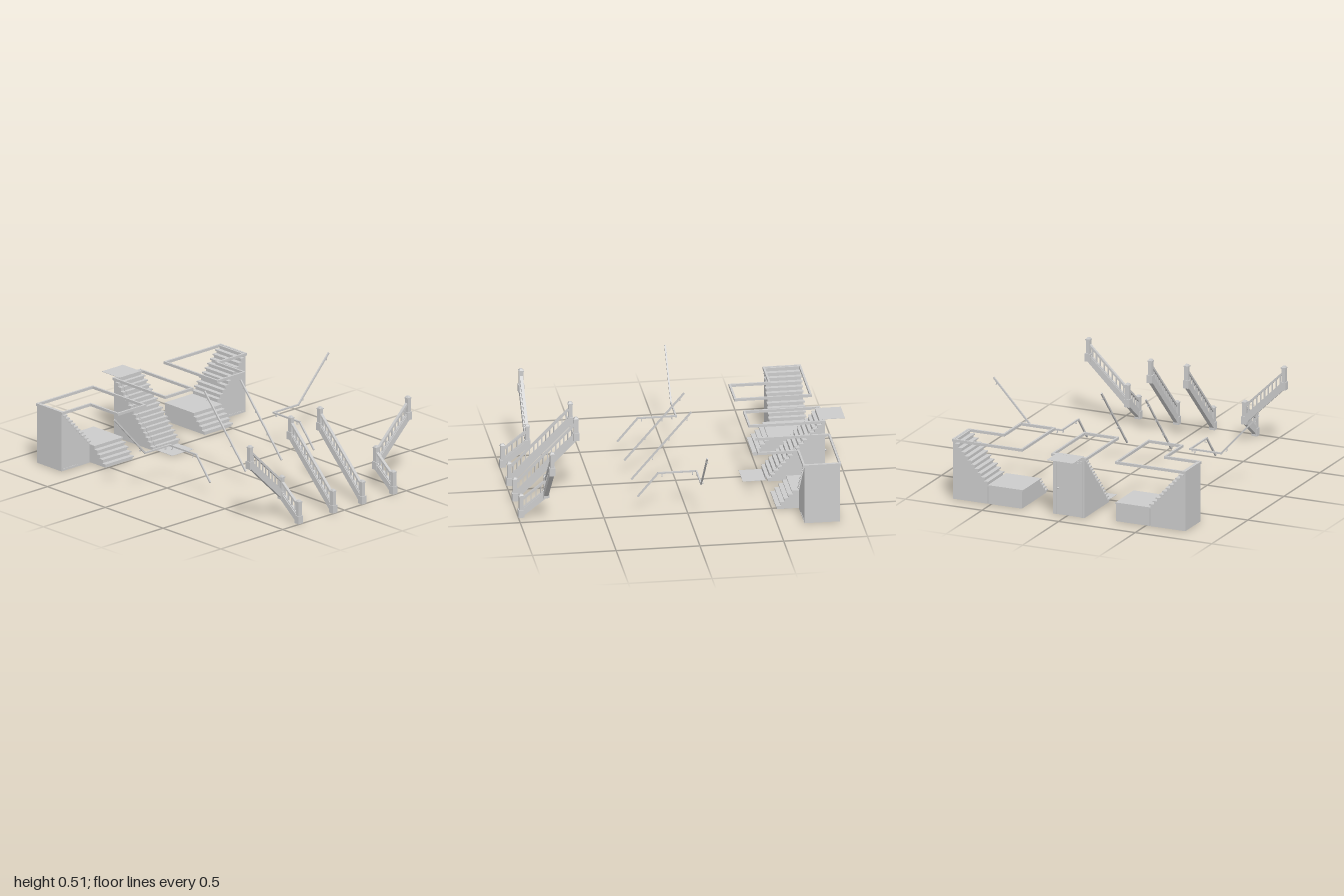
import * as THREE from 'three';

const mat = new THREE.MeshStandardMaterial({ color: 0xcccccc, flatShading: true });
const RISE = 0.0231, RUN = 0.0213;

function add(parent, name, geo) {
  const m = new THREE.Mesh(geo, mat);
  m.name = name;
  parent.add(m);
  return m;
}
function box(parent, name, w, h, d, x, y, z) {
  const m = add(parent, name, new THREE.BoxGeometry(w, h, d));
  m.position.set(x, y, z);
  return m;
}
// rectangular bar between two points
function beam(parent, name, a, b, w, h) {
  const m = add(parent, name, new THREE.BoxGeometry(w, h, a.distanceTo(b)));
  m.position.copy(a).lerp(b, 0.5);
  m.lookAt(b);
  return m;
}
const V = (x, y, z) => new THREE.Vector3(x, y, z);

// solid flight climbing towards local -z from a first riser at z = 0
function flight(parent, name, width, n, run, y0, tail) {
  const g = new THREE.Group();
  g.name = name;
  parent.add(g);
  const end = (n - 1) * run + tail;
  const shape = new THREE.Shape();
  shape.moveTo(0, 0);
  for (let i = 0; i < n; i++) {
    const y = y0 + (i + 1) * RISE - 0.004;
    shape.lineTo(i * run, y);
    shape.lineTo(i < n - 1 ? (i + 1) * run : end, y);
  }
  shape.lineTo(end, 0);
  const body = new THREE.ExtrudeGeometry(shape, { depth: width, bevelEnabled: false });
  body.rotateY(Math.PI / 2).translate(-width / 2, 0, 0);
  add(g, 'stairBody', body);
  // treads with a nosing at the front and both sides
  for (let i = 0; i < n; i++) {
    const d = (i < n - 1 ? run : tail) + 0.007;
    box(g, 'tread', width + 0.013, 0.008, d, 0, y0 + (i + 1) * RISE - 0.004, -i * run + 0.007 - d / 2);
  }
  return g;
}

// flat trim following a closed outline of right angles, in (x, z)
function wellTrim(parent, pts) {
  const g = new THREE.Group();
  g.name = 'stairwellTrim';
  parent.add(g);
  const t = 0.012;
  pts.forEach(([x, z], i) => {
    const [u, v] = pts[(i + 1) % pts.length];
    box(g, 'trimBar', Math.abs(u - x) + t, 0.016, Math.abs(v - z) + t, (x + u) / 2, 0.364, (z + v) / 2);
  });
}

// newel post: wide base block, shaft, collar and pointed cap
function newel(parent, x, y, z) {
  const g = new THREE.Group();
  g.name = 'newelPost';
  g.position.set(x, y, z);
  parent.add(g);
  box(g, 'newelBase', 0.036, 0.048, 0.036, 0, 0.024, 0);
  box(g, 'newelShaft', 0.025, 0.088, 0.025, 0, 0.09, 0);
  box(g, 'newelCollar', 0.03, 0.007, 0.03, 0, 0.134, 0);
  const cap = add(g, 'newelCap', new THREE.CylinderGeometry(0.01, 0.018, 0.009, 4));
  cap.rotation.y = Math.PI / 4;
  cap.position.y = 0.142;
}

// stringer, handrail and balusters between two newel feet
function balustrade(parent, a, b, n) {
  const g = new THREE.Group();
  g.name = 'balustrade';
  parent.add(g);
  const up = (p, h) => V(p.x, p.y + h, p.z);
  beam(g, 'stringer', up(a, 0.022), up(b, 0.022), 0.026, 0.036);
  beam(g, 'shoeRail', up(a, 0.05), up(b, 0.05), 0.016, 0.006);
  beam(g, 'handrail', up(a, 0.108), up(b, 0.108), 0.018, 0.012);
  for (let i = 1; i <= n; i++) {
    const p = a.clone().lerp(b, i / (n + 1));
    box(g, 'baluster', 0.007, 0.075, 0.007, p.x, p.y + 0.072, p.z);
  }
}

// slim wall handrail along a path, with brackets hung beneath it
function wallRail(parent, name, pts, brackets, side) {
  const g = new THREE.Group();
  g.name = name;
  parent.add(g);
  for (let i = 0; i < pts.length - 1; i++) {
    beam(g, 'railBar', pts[i], pts[i + 1], 0.009, 0.01);
    if (i) box(g, 'railJoint', 0.01, 0.01, 0.01, pts[i].x, pts[i].y, pts[i].z);
  }
  for (const [seg, t] of brackets) {
    const p = pts[seg].clone().lerp(pts[seg + 1], t);
    const alongX = Math.abs(pts[seg + 1].x - pts[seg].x) > 0.01;
    box(g, 'bracketStem', 0.004, 0.018, 0.004, p.x, p.y - 0.011, p.z);
    box(g, 'bracketArm', alongX ? 0.005 : 0.012, 0.004, alongX ? 0.012 : 0.005,
      p.x + (alongX ? 0 : side * 0.004), p.y - 0.019, p.z - (alongX ? 0.004 : 0));
  }
}

function cornerStair(parent, s) {
  const g = new THREE.Group();
  g.name = s > 0 ? 'leftCornerStair' : 'rightCornerStair';
  g.position.set(s > 0 ? -0.006 : 0, 0, s > 0 ? -0.022 : 0);
  parent.add(g);
  // lower flight, whose last tread is the landing
  const low = flight(g, 'lowerFlight', 0.217, 5, 0.0235, 0, 0.248);
  low.position.set(s * 0.414, 0, -0.508);
  // upper flight, turned outwards
  const high = flight(g, 'upperFlight', 0.212, 11, RUN, 5 * RISE, 0.014);
  high.position.set(s * 0.53, 0, -0.744);
  high.rotation.y = -s * Math.PI / 2;
  // low strip on the front of the upper flight
  box(g, 'skirtingStrip', 0.125, 0.006, 0.004, s * 0.685, 0.012, -0.637);
  wellTrim(g, [[0.754, -0.851], [0.306, -0.851], [0.306, -0.4], [0.524, -0.4], [0.524, -0.636], [0.754, -0.636]]
    .map(([x, z]) => [s * x, z]));
}

function centreStair(parent) {
  const g = new THREE.Group();
  g.name = 'centreStair';
  g.position.x = -0.008;
  parent.add(g);
  const f = flight(g, 'straightFlight', 0.206, 16, RUN, 0, 0.018);
  f.position.z = -0.537;
  // carpet runner, with flat ends on both floors
  for (let i = 0; i < 16; i++) {
    const y = (i + 1) * RISE, z = -0.53 - i * RUN;
    box(g, 'carpetTread', 0.172, 0.003, RUN + 0.004, 0, y + 0.001, z - RUN / 2 + 0.002);
    box(g, 'carpetRiser', 0.172, RISE, 0.003, 0, y - RISE / 2, z + 0.002);
  }
  box(g, 'lowerCarpet', 0.172, 0.002, 0.14, 0, 0.001, -0.46);
  box(g, 'upperCarpet', 0.172, 0.002, 0.15, 0, 0.371, -0.925);
  wellTrim(g, [[-0.108, -0.872], [0.108, -0.872], [0.108, -0.426], [-0.108, -0.426]]);
  // cupboard door in the back
  box(g, 'cupboardDoor', 0.16, 0.325, 0.006, 0, 0.172, -0.876);
  for (const s of [-1, 1]) box(g, 'doorJamb', 0.01, 0.342, 0.009, s * 0.086, 0.171, -0.876);
  box(g, 'doorHead', 0.18, 0.01, 0.009, 0, 0.342, -0.876);
  const knob = add(g, 'doorKnob', new THREE.SphereGeometry(0.007, 10, 8));
  knob.position.set(0.066, 0.166, -0.885);
}

export function createModel() {
  const root = new THREE.Group();
  root.name = 'staircaseSet';

  centreStair(root);
  for (const s of [-1, 1]) cornerStair(root, s);

  // straight balustrades
  for (const x of [-0.076, 0.16]) {
    const a = V(x, 0, 0.982), b = V(x, 0.365, 0.618);
    newel(root, a.x, a.y, a.z);
    newel(root, b.x, b.y, b.z);
    balustrade(root, a, b, 14);
  }

  // corner balustrades
  for (const [s, x] of [[-1, -0.353], [1, 0.411]]) {
    const a = V(x, 0, 0.982), b = V(x, 0.116, 0.834), c = V(x + s * 0.256, 0.365, 0.834);
    for (const p of [a, b, c]) newel(root, p.x, p.y, p.z);
    balustrade(root, a, b, 4);
    balustrade(root, b, c, 9);
  }

  // wall handrails
  for (const x of [-0.132, 0.158])
    wallRail(root, 'straightWallRail', [V(x, 0.5, -0.07), V(x, 0.09, 0.287)], [[0, 0.07], [0, 0.37], [0, 0.65]], x < 0 ? -1 : 1);
  for (const s of [-1, 1]) {
    const x = s * 0.419, z = -0.063;
    wallRail(root, 'cornerWallRail',
      [V(s * 0.866, 0.5, z), V(s * 0.62, 0.233, z), V(x, 0.233, z), V(x, 0.233, 0.165), V(x, 0.09, 0.287)],
      [[0, 0.08], [0, 0.85], [1, 0.85], [2, 0.1], [2, 0.9]], s);
  }
  return root;
}
